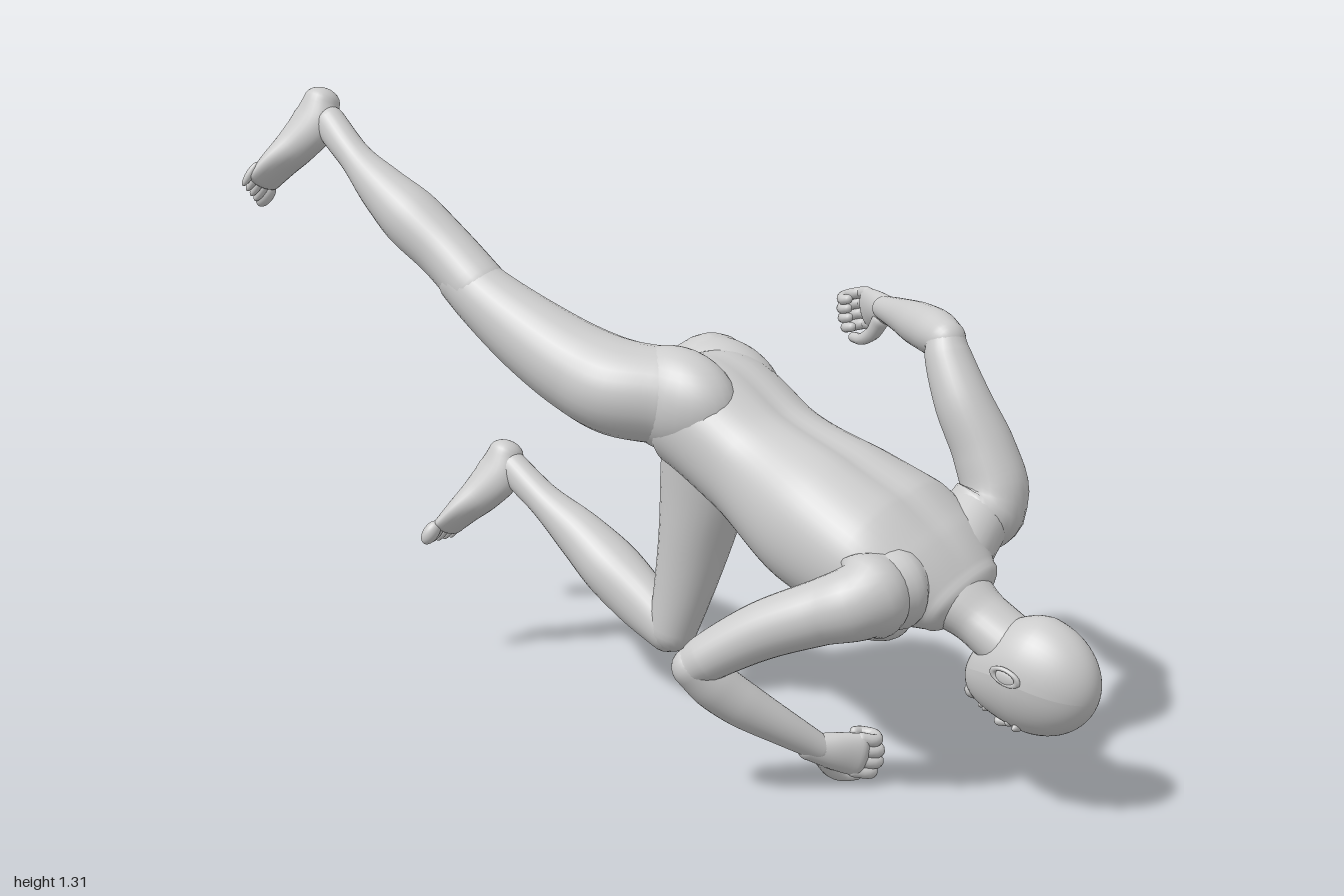
import * as THREE from 'three';

const V = (a) => new THREE.Vector3(...a);
const material = new THREE.MeshStandardMaterial({ color: 0xcccccc, roughness: 0.8 });

// Smooth skin over elliptical stations [x, y, z, halfWidth, halfDepth], domed at both ends.
// The width runs along a side axis that turns from sideA to sideB; shape(angle, t) scales the ring.
function loft(name, stations, { sideA = [1, 0, 0], sideB = sideA, seg = 28, steps = 6, dome = 1, shape = () => 1 } = {}) {
  const curve = new THREE.CatmullRomCurve3(stations.map(s => V(s)));
  const sizes = new THREE.CatmullRomCurve3(stations.map(s => new THREE.Vector3(s[3], s[4] ?? s[3], 0)));
  const n = (stations.length - 1) * steps, rings = [];
  const ring = (t, grow, push) => {
    const T = curve.getTangent(t), size = sizes.getPoint(t), side = V(sideA).lerp(V(sideB), t);
    const S = side.addScaledVector(T, -side.dot(T)).normalize();
    const N = new THREE.Vector3().crossVectors(T, S);
    const P = curve.getPoint(t).addScaledVector(T, push * dome * Math.min(size.x, size.y));
    rings.push({ t, P, S, N, a: size.x * grow, b: size.y * grow });
  };
  for (let k = 6; k > 0; k--) ring(0, Math.cos(k * Math.PI / 12) + 1e-4, -Math.sin(k * Math.PI / 12));
  for (let i = 0; i <= n; i++) ring(i / n, 1, 0);
  for (let k = 1; k <= 6; k++) ring(1, Math.cos(k * Math.PI / 12) + 1e-4, Math.sin(k * Math.PI / 12));
  const pos = [], idx = [];
  rings.forEach(({ t, P, S, N, a, b }, i) => {
    for (let j = 0; j < seg; j++) {
      const q = j / seg * Math.PI * 2, k = shape(q, t);
      const p = P.clone().addScaledVector(S, Math.cos(q) * a * k).addScaledVector(N, Math.sin(q) * b * k);
      pos.push(p.x, p.y, p.z);
      if (i < rings.length - 1) {
        const A = i * seg + j, B = i * seg + (j + 1) % seg;
        idx.push(A, B, A + seg, B, B + seg, A + seg);
      }
    }
  });
  const geo = new THREE.BufferGeometry();
  geo.setAttribute('position', new THREE.Float32BufferAttribute(pos, 3));
  geo.setIndex(idx);
  geo.computeVertexNormals();
  const mesh = new THREE.Mesh(geo, material);
  mesh.name = name;
  return mesh;
}

// Ellipsoid, optionally tipped about x
function blob(name, at, size, tip = 0) {
  const mesh = new THREE.Mesh(new THREE.SphereGeometry(1, 28, 20), material);
  mesh.name = name;
  mesh.position.set(...at);
  mesh.scale.set(...size);
  mesh.rotation.x = tip;
  return mesh;
}

// Group whose z axis points along dir and whose y axis leans to facing
function frame(name, at, dir, facing, scale, build) {
  const g = new THREE.Group();
  g.name = name;
  const Z = V(dir).normalize();
  const Y = V(facing).addScaledVector(Z, -V(facing).dot(Z)).normalize();
  const X = new THREE.Vector3().crossVectors(Y, Z);
  g.quaternion.setFromRotationMatrix(new THREE.Matrix4().makeBasis(X, Y, Z));
  g.position.set(...at);
  g.scale.setScalar(scale);
  build(g);
  return g;
}

// Loosely closed fist: x is the thumb side, y the palm side, z runs from wrist to knuckles
function hand(name, wrist, dir, palm) {
  return frame(name, wrist, dir, palm, 1.08, g => {
    g.add(loft('palm', [[0, 0, -0.02, 0.025, 0.023], [0, 0, 0.03, 0.036, 0.024], [0, 0, 0.075, 0.042, 0.02]]));
    for (let i = 0; i < 4; i++) {
      const x = 0.032 - i * 0.021, l = [0.034, 0.04, 0.037, 0.028][i];
      g.add(loft('finger', [[x, 0, 0.075, 0.0125], [x, 0.004, 0.075 + l, 0.0115], [x, 0.036, 0.08 + l, 0.011],
        [x * 0.9, 0.05, 0.058 + l, 0.0105], [x * 0.9, 0.045, 0.045 + l, 0.0095]], { seg: 12, steps: 4 }));
    }
    g.add(loft('thumb', [[0.02, 0.01, 0.015, 0.018], [0.044, 0.02, 0.04, 0.015],
      [0.055, 0.032, 0.068, 0.012], [0.052, 0.037, 0.095, 0.0105]], { seg: 12, sideA: [0, 1, 0] }));
  });
}

// Foot: y is the instep side, z runs from heel to toes, sole at y = 0
function foot(name, heel, dir, instep, inner) {
  return frame(name, heel, dir, instep, 1.17, g => {
    g.add(loft('sole', [[0, 0.036, 0.022, 0.032, 0.035], [0, 0.047, 0.06, 0.034, 0.046], [0, 0.041, 0.11, 0.037, 0.039],
      [0, 0.027, 0.165, 0.044, 0.026], [0, 0.018, 0.205, 0.045, 0.017]], { dome: 0.8 }));
    for (let i = 0; i < 5; i++) {
      const r = i ? 0.0105 - i * 0.0006 : 0.016;
      g.add(blob('toe', [inner * (0.034 - i * 0.0185), 0.014, 0.229 - i * 0.006], [r, r * 0.95, 0.026]));
    }
  });
}

// Head in its own frame: y to the crown, z to the face
function head() {
  const g = new THREE.Group();
  g.name = 'head';
  const geo = new THREE.SphereGeometry(1, 48, 36), p = geo.attributes.position;
  for (let i = 0; i < p.count; i++) {
    let x = p.getX(i), y = p.getY(i), z = p.getZ(i);
    const d = Math.max(0, -y);
    // narrow jaw, receding nape, chin brought forward
    x *= 0.091 * (1 - 0.1 * d) * (z > 0 ? 1 - 0.1 * z : 1);
    z = z * 0.118 * (1 - (z < 0 ? 0.12 : 0.05) * d) + 0.045 * d * d;
    p.setXYZ(i, x, y * 0.14, z);
  }
  geo.computeVertexNormals();
  const skull = new THREE.Mesh(geo, material);
  skull.name = 'skull';
  g.add(skull);
  g.add(loft('nose', [[0, 0.005, 0.108, 0.009], [0, -0.025, 0.117, 0.01], [0, -0.045, 0.124, 0.014, 0.011]], { seg: 16 }));
  g.add(blob('upperLip', [0, -0.077, 0.109], [0.022, 0.006, 0.009]), blob('lowerLip', [0, -0.088, 0.106], [0.02, 0.007, 0.009]));
  g.add(blob('chin', [0, -0.112, 0.085], [0.03, 0.02, 0.02]));
  for (const s of [-1, 1]) {
    g.add(blob('brow', [s * 0.032, 0.014, 0.099], [0.026, 0.009, 0.011]), blob('eye', [s * 0.032, -0.008, 0.1], [0.015, 0.008, 0.01]));
    const rim = new THREE.Mesh(new THREE.TorusGeometry(0.02, 0.005, 8, 24), material);
    rim.name = 'earRim';
    rim.position.set(s * 0.091, -0.014, -0.01);
    rim.rotation.y = s * (Math.PI / 2 - 0.25);
    rim.scale.set(0.8, 1.4, 1);
    g.add(rim, blob('ear', [s * 0.087, -0.016, -0.006], [0.006, 0.026, 0.015]));
  }
  g.position.set(-0.045, 0.28, 0.86);
  g.rotation.x = 1.82;
  return g;
}

export function createModel() {
  const body = new THREE.Group();
  body.name = 'leaningFigure';

  // Trunk with a groove along the spine, twisting towards the raised shoulder
  const groove = (q, t) => 1 + 0.04 * Math.sin(2 * q) ** 2 - 0.09 * Math.sin(Math.PI * t) * Math.exp(-(((q - Math.PI / 2) / 0.17) ** 2));
  body.add(loft('torso', [[-0.035, 0.7, 0.0, 0.15, 0.1], [-0.035, 0.69, 0.07, 0.172, 0.122], [-0.045, 0.608, 0.22, 0.157, 0.122],
    [-0.06, 0.523, 0.4, 0.183, 0.147], [-0.06, 0.478, 0.53, 0.195, 0.137], [-0.055, 0.445, 0.62, 0.172, 0.1], [-0.05, 0.408, 0.69, 0.115, 0.062]],
  { sideA: [1, -0.06, 0], sideB: [1, 0.25, 0], seg: 56, steps: 8, dome: 0.6, shape: groove }));
  body.add(loft('neck', [[-0.055, 0.435, 0.58, 0.11, 0.055], [-0.052, 0.405, 0.68, 0.095, 0.06], [-0.048, 0.366, 0.745, 0.068, 0.054],
    [-0.046, 0.325, 0.81, 0.066, 0.058]]));
  body.add(head());
  for (const s of [-1, 1]) {
    body.add(blob('chestMuscle', [-0.06 + s * 0.08, 0.405 + s * 0.02, 0.535], [0.095, 0.095, 0.055], 2.08));
  }
  body.add(loft('leftShoulderSlope', [[-0.05, 0.428, 0.655, 0.055], [0.04, 0.475, 0.632, 0.07], [0.13, 0.53, 0.625, 0.068]], { sideA: [0, 1, 0] }));
  body.add(loft('rightShoulderSlope', [[-0.05, 0.42, 0.655, 0.055], [-0.14, 0.437, 0.622, 0.07], [-0.23, 0.43, 0.605, 0.07]], { sideA: [0, 1, 0] }));
  body.add(blob('leftButtock', [0.053, 0.71, 0.035], [0.104, 0.11, 0.145], 0.35));
  body.add(blob('rightButtock', [-0.13, 0.725, 0.055], [0.09, 0.11, 0.145], 0.15));

  // Raised left arm
  const armSide = { sideA: [1, 0, 0.5] };
  body.add(loft('leftUpperArm', [[0.1, 0.49, 0.6, 0.07], [0.15, 0.555, 0.64, 0.07], [0.155, 0.64, 0.615, 0.065],
    [0.148, 0.74, 0.565, 0.058], [0.158, 0.83, 0.52, 0.047], [0.165, 0.86, 0.51, 0.04]], armSide));
  body.add(loft('leftForearm', [[0.165, 0.86, 0.51, 0.041], [0.2, 0.864, 0.46, 0.048], [0.24, 0.866, 0.4, 0.046],
    [0.295, 0.867, 0.32, 0.036], [0.35, 0.866, 0.24, 0.028, 0.026]], armSide));
  body.add(hand('leftHand', [0.362, 0.86, 0.235], [0.5, -0.12, -0.86], [-0.86, -0.15, -0.5]));

  // Lowered right arm
  const lowSide = { sideA: [-0.6, -0.37, 0.36] };
  body.add(loft('rightUpperArm', [[-0.19, 0.44, 0.6, 0.075], [-0.255, 0.425, 0.595, 0.075], [-0.295, 0.4, 0.53, 0.064],
    [-0.34, 0.355, 0.425, 0.057], [-0.385, 0.292, 0.325, 0.047], [-0.395, 0.274, 0.302, 0.04]], lowSide));
  body.add(loft('rightForearm', [[-0.395, 0.272, 0.3, 0.041], [-0.355, 0.228, 0.327, 0.048], [-0.315, 0.188, 0.36, 0.046],
    [-0.25, 0.133, 0.415, 0.036], [-0.19, 0.085, 0.46, 0.027]], lowSide));
  body.add(hand('rightHand', [-0.19, 0.083, 0.46], [0.72, -0.22, 0.62], [0.66, 0.05, -0.72]));

  // Left leg, kneeling with the shin swept back
  body.add(loft('leftThigh', [[0.06, 0.73, 0.0, 0.098], [0.07, 0.64, -0.005, 0.1, 0.108], [0.08, 0.52, -0.028, 0.09, 0.105],
    [0.088, 0.38, -0.062, 0.08, 0.083], [0.083, 0.25, -0.094, 0.062, 0.066], [0.078, 0.162, -0.118, 0.052, 0.054]]));
  body.add(loft('leftShin', [[0.078, 0.158, -0.13, 0.05, 0.053], [0.084, 0.205, -0.21, 0.057, 0.064], [0.09, 0.26, -0.295, 0.066],
    [0.09, 0.325, -0.39, 0.055], [0.086, 0.395, -0.5, 0.037], [0.086, 0.45, -0.585, 0.033, 0.038]]));
  body.add(foot('leftFoot', [0.1, 0.518, -0.632], [-0.1, -0.22, -0.108], [0, -0.45, 0.89], -1));

  // Right leg, stretched up behind
  body.add(loft('rightThigh', [[-0.13, 0.73, 0.03, 0.1], [-0.168, 0.742, -0.06, 0.11, 0.1], [-0.185, 0.772, -0.15, 0.1, 0.094],
    [-0.203, 0.832, -0.27, 0.083], [-0.217, 0.9, -0.38, 0.068], [-0.22, 0.935, -0.43, 0.062]]));
  body.add(loft('rightShin', [[-0.22, 0.92, -0.4, 0.063], [-0.22, 0.985, -0.485, 0.062], [-0.226, 1.045, -0.57, 0.065],
    [-0.232, 1.11, -0.66, 0.051], [-0.23, 1.175, -0.745, 0.035], [-0.22, 1.235, -0.822, 0.033, 0.038]]));
  body.add(foot('rightFoot', [-0.2, 1.318, -0.882], [-0.11, -0.24, -0.11], [0, -0.43, 0.9], 1));
  return body;
}
